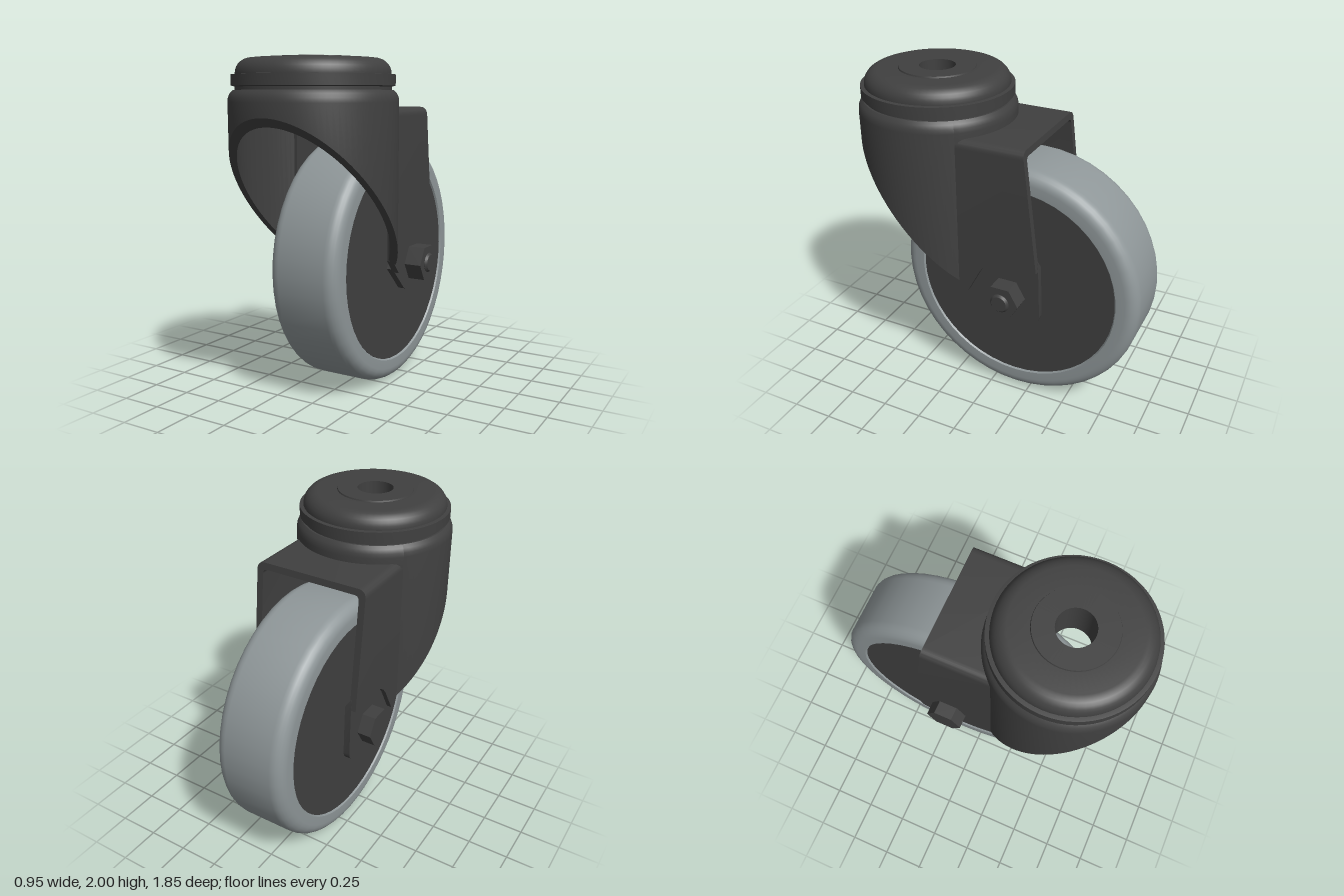
import * as THREE from 'three';
import { toCreasedNormals } from 'three/addons/utils/BufferGeometryUtils.js';

const dark = new THREE.MeshStandardMaterial({ color: 0x404040, side: THREE.DoubleSide });
const rubber = new THREE.MeshStandardMaterial({ color: 0x8f9799, side: THREE.DoubleSide });

const SWIVEL_Z = 0.455, AXLE_Y = 0.775, AXLE_Z = -0.155;
const HOLE = 0.107, OUTER = 0.473, INNER = 0.43;

// Move every vertex of a geometry by a rule
function reshape(geo, rule) {
  const p = geo.attributes.position, v = new THREE.Vector3();
  for (let i = 0; i < p.count; i++) {
    rule(v.fromBufferAttribute(p, i));
    p.setXYZ(i, v.x, v.y, v.z);
  }
  geo.computeVertexNormals();
  return geo;
}

// Lathe from [radius, height] points
const lathe = (points, segments = 64, start = 0, length = Math.PI * 2) =>
  new THREE.LatheGeometry(points.map(([r, y]) => new THREE.Vector2(r, y)), segments, start, length);

const polygon = (points) => new THREE.Shape(points.map(([a, b]) => new THREE.Vector2(a, b)));

// Plate drawn in (z, y), lying between x0 and x0 + thickness
function plate(shape, x0, thickness) {
  const geo = new THREE.ExtrudeGeometry(shape, { depth: thickness, bevelEnabled: false, curveSegments: 8 });
  return geo.rotateY(-Math.PI / 2).translate(x0 + thickness, 0, 0);
}

export function createModel() {
  const model = new THREE.Group();
  const add = (name, geo, material = dark, crease = 0.5) => {
    const mesh = new THREE.Mesh(toCreasedNormals(geo, crease), material);
    mesh.name = name;
    model.add(mesh);
    return mesh;
  };

  // Tyre with rounded shoulders, spun about the axle
  const half = 0.225, round = 0.075, R = 0.77;
  const tyre = [[0.6, -0.205], [0.63, -0.212], [0.64, -half]];
  for (const side of [-1, 1]) {
    for (let i = 0; i <= 6; i++) {
      const a = (side < 0 ? i : 6 - i) / 6 * Math.PI / 2;
      tyre.push([R - round + round * Math.sin(a), side * (half - round + round * Math.cos(a))]);
    }
  }
  tyre.push([0.64, half], [0.63, 0.212], [0.6, 0.205]);
  const onAxle = (geo, x = 0) => geo.rotateZ(-Math.PI / 2).translate(x, AXLE_Y, AXLE_Z);
  add('tyre', onAxle(lathe(tyre, 48)), rubber);
  add('wheelDisc', onAxle(new THREE.CylinderGeometry(0.632, 0.632, 0.43, 48)));

  // Axle bolt: shaft with chamfered tip, hexagonal head and nut
  add('axle', onAxle(lathe([[0, -0.36], [0.06, -0.36], [0.06, 0.432], [0.048, 0.445], [0, 0.445]], 24)));
  const hex = (length) => new THREE.CylinderGeometry(0.115, 0.115, length, 6);
  add('axleNut', onAxle(hex(0.105), 0.3775));
  add('boltHead', onAxle(hex(0.085), -0.3675));

  // Swivel housing: tubular shell, front cut by a sloping plane, rear only a shallow rim
  const slope = (z) => 1.68 - 1.115 * (0.93 - z);
  const shell = (bottom) => [
    [HOLE, 1.74], [INNER, 1.74], [INNER, bottom], [OUTER, bottom], [OUTER, 1.755],
    [0.47, 1.78], [0.46, 1.803], [0.443, 1.82], [HOLE, 1.82], [HOLE, 1.74],
  ];
  const split = Math.acos((0.15 - SWIVEL_Z) / OUTER);
  const front = lathe(shell(0), 64, -split, 2 * split).translate(0, 0, SWIVEL_Z);
  add('housingFront', reshape(front, (v) => { if (v.y < 0.5) v.y = slope(v.z); }));
  add('housingRear', lathe(shell(1.69), 24, split, 2 * (Math.PI - split)).translate(0, 0, SWIVEL_Z));

  // Bearing band and domed cap with a through hole
  add('bearingBand', lathe([
    [HOLE, 1.81], [0.432, 1.81], [0.432, 1.838], [0.453, 1.843], [0.453, 1.903], [0.43, 1.905], [HOLE, 1.905],
  ]).translate(0, 0, SWIVEL_Z));
  const cap = [[HOLE, 1.9], [0.43, 1.9]];
  for (let i = 0; i <= 7; i++) {
    const a = i / 7 * Math.PI / 2;
    cap.push([0.345 + 0.085 * Math.cos(a), 1.908 + 0.084 * Math.sin(a)]);
  }
  cap.push([0.228, 1.992], [0.225, 2], [HOLE, 2], [HOLE, 1.74]);
  add('domedCap', lathe(cap).translate(0, 0, SWIVEL_Z));

  // Fork bridge: upside-down U with rounded corners and a raked rear edge
  const u = new THREE.Shape();
  u.moveTo(-0.355, 0.985).lineTo(-0.355, 1.67).quadraticCurveTo(-0.355, 1.72, -0.305, 1.72);
  u.lineTo(0.305, 1.72).quadraticCurveTo(0.355, 1.72, 0.355, 1.67).lineTo(0.355, 0.985);
  u.lineTo(0.315, 0.985).lineTo(0.315, 1.65).quadraticCurveTo(0.315, 1.68, 0.285, 1.68);
  u.lineTo(-0.285, 1.68).quadraticCurveTo(-0.315, 1.68, -0.315, 1.65).lineTo(-0.315, 0.985);
  const bridge = new THREE.ExtrudeGeometry(u, { depth: 0.43, bevelEnabled: false, curveSegments: 8 });
  bridge.translate(0, 0, -0.26);
  add('forkBridge', reshape(bridge, (v) => { if (v.z < 0) v.z -= (1.72 - v.y) * 0.122; }));

  // Lower fork: gusset under the bridge and an inset tab carrying the axle
  const gusset = polygon([
    [0.17, 0.99], [0.17, slope(0.17)], [0.095, slope(0.095)], [0.01, 0.91], [-0.02, 0.95], [-0.055, 0.975], [-0.1, 0.99],
  ]);
  const tab = new THREE.Shape();
  tab.moveTo(0.115, slope(0.115)).lineTo(-0.015, 0.645).quadraticCurveTo(-0.04, 0.615, -0.08, 0.615);
  tab.lineTo(-0.3, 0.615).quadraticCurveTo(-0.36, 0.615, -0.363, 0.675);
  tab.lineTo(-0.35, 1.0).lineTo(-0.343, 1.05).lineTo(-0.04, 1.05).lineTo(-0.04, 1.0).lineTo(0.03, 0.93);
  for (const [side, sign] of [['left', 1], ['right', -1]]) {
    add(side + 'Gusset', plate(gusset, sign > 0 ? 0.315 : -0.355, 0.04));
    const geo = plate(tab, sign > 0 ? 0.285 : -0.325, 0.04);
    add(side + 'AxleTab', reshape(geo, (v) => {
      if (v.y > 1.02) v.x = sign * Math.max(0.317, Math.abs(v.x));
    }));
  }
  return model;
}
